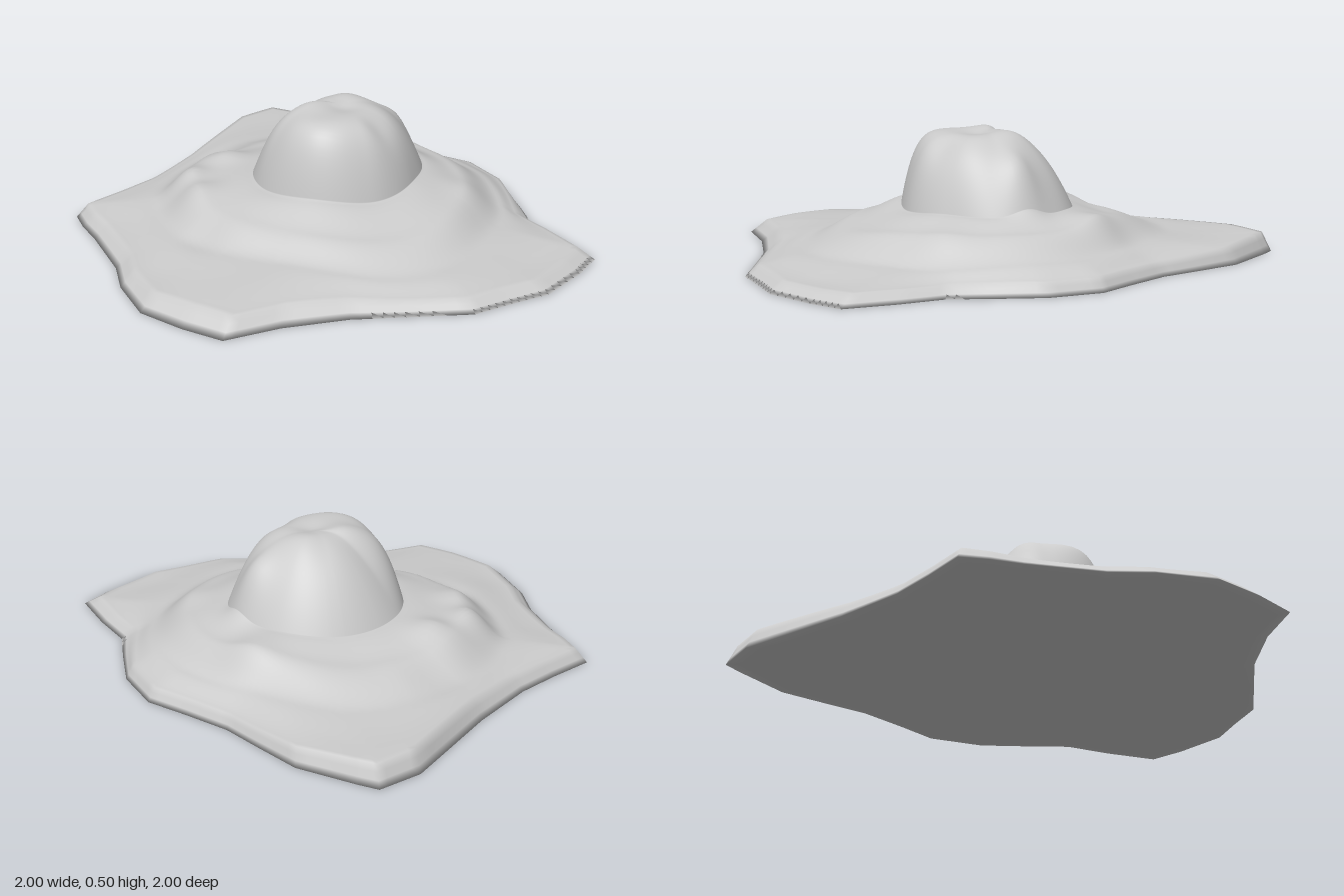
import * as THREE from 'three';

// Ground outline (x, z), running from the back left corner round by the right
const OUTLINE = [
  [-0.7, -1], [-0.62, -1], [-0.38, -0.985], [-0.2, -0.91], [-0.04, -0.84], [0.15, -0.8],
  [0.32, -0.77], [0.49, -0.64], [0.6, -0.48], [0.69, -0.34], [0.84, -0.24], [1, -0.11],
  [0.98, 0.03], [0.92, 0.24], [0.82, 0.36], [0.72, 0.49], [0.5, 0.6], [0.32, 0.69],
  [0.12, 0.84], [-0.03, 1], [-0.2, 0.97], [-0.39, 0.91], [-0.55, 0.75], [-0.64, 0.61],
  [-0.84, 0.4], [-0.93, 0.32], [-1, 0.24], [-0.93, 0.07], [-0.87, -0.1], [-0.82, -0.38],
  [-0.78, -0.84],
];
const CX = -0.03, CZ = -0.1, TOP = 0.49; // middle of the dome

// Radial section every 45 degrees, from +x towards +z:
// dome radius, dome foot height, dome steepness, terrace radius, terrace height,
// skirt radius, skirt height, rim height, rim width
const SECTIONS = [
  [0.31, 0.22, 4.5, 0.49, 0.165, 0.64, 0.07, 0.04, 0.07],
  [0.32, 0.2, 6, 0.53, 0.145, 0.72, 0.07, 0.04, 0.05],
  [0.33, 0.22, 8, 0.5, 0.16, 0.62, 0.095, 0.06, 0.08],
  [0.33, 0.21, 5, 0.54, 0.17, 0.7, 0.08, 0.05, 0.06],
  [0.33, 0.2, 2.2, 0.56, 0.17, 0.72, 0.08, 0.06, 0.04],
  [0.33, 0.2, 2.5, 0.5, 0.16, 0.72, 0.09, 0.08, 0.04],
  [0.33, 0.21, 2.7, 0.47, 0.19, 0.6, 0.09, 0.05, 0.025],
  [0.34, 0.21, 3, 0.47, 0.17, 0.62, 0.09, 0.05, 0.03],
];

// Soft lumps and hollows: x, z, height, radius
const LUMPS = [
  [-0.6, 0.08, 0.035, 0.08], [-0.48, 0.22, 0.03, 0.09], [-0.52, -0.12, 0.03, 0.08],
  [-0.6, -0.32, -0.02, 0.09], [0, -0.57, 0.025, 0.1], [0.13, -0.34, 0.05, 0.07],
  [-0.03, -0.22, 0.012, 0.07], [-0.12, -0.05, 0.012, 0.07], [0.0, -0.08, -0.012, 0.06],
  [0.17, -0.02, -0.02, 0.06], [-0.35, 0.42, -0.015, 0.09], [0.45, -0.2, 0.015, 0.1],
];

const mix = THREE.MathUtils.lerp;
const ease = (t) => mix(t, t * t * (3 - 2 * t), 0.7);

function sectionAt(angle) {
  const u = ((angle / (Math.PI / 4)) + 8) % 8;
  const i = Math.floor(u), f = u - i;
  return SECTIONS[i % 8].map((v, k) => mix(v, SECTIONS[(i + 1) % 8][k], f * f * (3 - 2 * f)));
}

// Height at distance d along one section that ends at radius edge
function heightAt(d, edge, s) {
  const [foot, footH, power, terrace, terraceH, skirt, skirtH, rimH, rimW] = s;
  if (d < foot) return footH + (TOP - footH) * (1 - (d / foot) ** power);
  const stops = [[foot, footH], [terrace, terraceH], [Math.min(skirt, edge - rimW - 0.03), skirtH], [edge - rimW, rimH], [edge, 0]];
  for (let i = 0; i < 4; i++) {
    const [a, ha] = stops[i], [b, hb] = stops[i + 1];
    if (d <= b) return mix(ha, hb, i === 3 ? (d - a) / (b - a) : ease((d - a) / (b - a)));
  }
  return 0;
}

export function createModel() {
  const SUB = 5, INNER = 24, OUTER = 30;
  const positions = [], indices = [];
  const columns = OUTLINE.length * SUB;
  const rings = INNER + OUTER + 4; // dome, slope, rim steps, underside ring

  for (let c = 0; c < columns; c++) {
    const p = OUTLINE[Math.floor(c / SUB)], q = OUTLINE[(Math.floor(c / SUB) + 1) % OUTLINE.length];
    const f = (c % SUB) / SUB;
    const dx = mix(p[0], q[0], f) - CX, dz = mix(p[1], q[1], f) - CZ;
    const edge = Math.hypot(dx, dz), s = sectionAt(Math.atan2(dz, dx));
    const [foot, , , , , , , , rimW] = s;

    const put = (d, under) => {
      const x = CX + dx * d / edge, z = CZ + dz * d / edge;
      let y = 0;
      if (!under) {
        y = heightAt(d, edge, s);
        // Fade lumps and ripples out before the rim
        const fade = THREE.MathUtils.clamp((edge - d) / 0.15, 0, 1);
        for (const [lx, lz, h, r] of LUMPS) y += fade * h * Math.exp(-((x - lx) ** 2 + (z - lz) ** 2) / (r * r));
        y += fade * 0.006 * Math.sin(9 * x + 4 * z) * Math.sin(8 * z - 3 * x);
      }
      positions.push(x, Math.max(0, y), z);
    };
    for (let i = 1; i <= INNER; i++) put(foot * Math.sin((i / INNER) * Math.PI / 2), false);
    for (let i = 1; i <= OUTER; i++) put(mix(foot, edge - rimW, i / OUTER), false);
    for (let i = 1; i <= 3; i++) put(edge - rimW * (1 - i / 3), false);
    put(edge - 0.06, true);
  }

  // Centre points of the summit and the underside
  const summit = positions.length / 3, floor = summit + 1;
  positions.push(CX, TOP, CZ, CX, 0, CZ);

  for (let c = 0; c < columns; c++) {
    const a = c * rings, b = ((c + 1) % columns) * rings;
    indices.push(summit, b, a);
    for (let r = 0; r < rings - 1; r++) {
      indices.push(a + r, b + r, a + r + 1, b + r, b + r + 1, a + r + 1);
    }
    indices.push(floor, a + rings - 1, b + rings - 1);
  }

  const geometry = new THREE.BufferGeometry();
  geometry.setAttribute('position', new THREE.Float32BufferAttribute(positions, 3));
  geometry.setIndex(indices);
  geometry.computeVertexNormals();

  const hill = new THREE.Mesh(geometry, new THREE.MeshStandardMaterial({ color: 0xcccccc }));
  hill.name = 'domedHill';
  const group = new THREE.Group();
  group.name = 'terrain';
  group.add(hill);
  return group;
}
